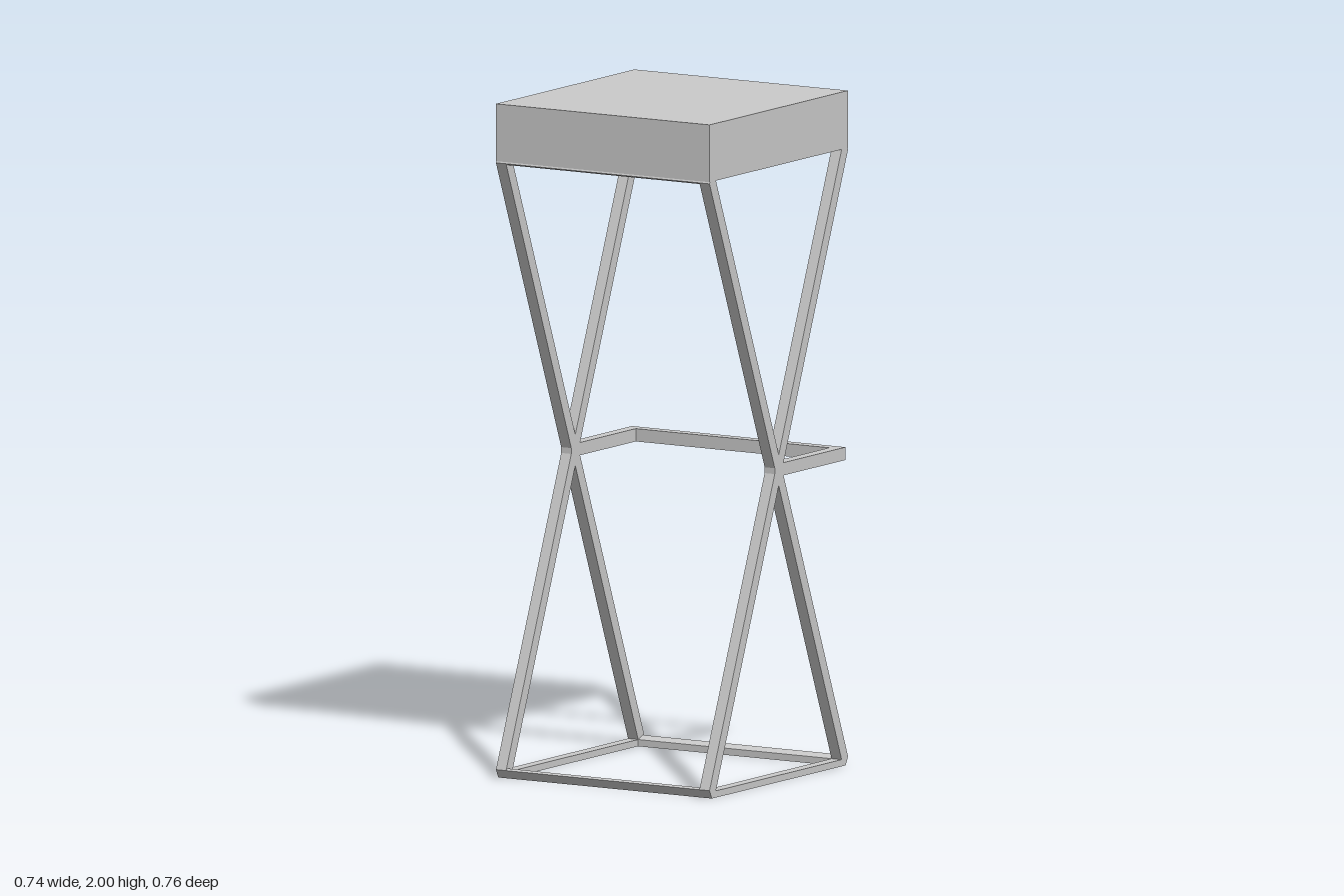
import * as THREE from 'three';

const HALF_X = 0.37;   // half width of the stool
const HALF_Z = 0.38;   // half depth of the stool
const BAR = 0.035;     // bar thickness
const MID_Y = 0.925;   // height where the legs cross

const metal = new THREE.MeshStandardMaterial({ color: 0xcccccc, flatShading: true });
const shell = new THREE.MeshStandardMaterial({ color: 0xcccccc, flatShading: true, side: THREE.DoubleSide });

// Extrude a [z, y] outline along x, centred on x = 0
function extrudeX(points, width) {
  const shape = new THREE.Shape(points.map(([z, y]) => new THREE.Vector2(z, y)));
  const geo = new THREE.ExtrudeGeometry(shape, { depth: width, bevelEnabled: false });
  return geo.translate(0, 0, -width / 2).rotateY(-Math.PI / 2);
}

function add(group, name, geo, x = 0, y = 0, z = 0, material = metal) {
  const mesh = new THREE.Mesh(geo, material);
  mesh.name = name;
  mesh.position.set(x, y, z);
  group.add(mesh);
  return mesh;
}

export function createModel() {
  const stool = new THREE.Group();
  stool.name = 'barStool';

  // Seat: thin box shell, open underneath
  const seatGeo = new THREE.BoxGeometry(2 * HALF_X, 0.17, 2 * HALF_Z);
  const index = Array.from(seatGeo.index.array);
  index.splice(18, 6); // drop the bottom face
  seatGeo.setIndex(index);
  add(stool, 'seat', seatGeo, 0, 1.915, 0, shell);

  // Leg outline: one half, repeated by point symmetry about the crossing
  const foot = [[HALF_Z, 0.025], [0.367, 0], [0.345, 0], [0.345, 0.02]];
  const leg = [...foot, ...foot.map(([z, y]) => [-z, 2 * MID_Y - y])];
  // Cross bar outline, with the same chamfered outer corner
  const cross = [[0.345, 0], [0.367, 0], [HALF_Z, 0.025], [0.371, 0.03], [0.345, 0.02]];

  for (const side of [-1, 1]) {
    const x = side * (HALF_X - BAR / 2);
    const name = side > 0 ? 'left' : 'right';

    // Crossing legs
    const legs = new THREE.Group();
    legs.name = name + 'Legs';
    stool.add(legs);
    add(legs, 'forwardLeg', extrudeX(leg, BAR), x);
    add(legs, 'backwardLeg', extrudeX(leg.map(([z, y]) => [-z, y]), BAR), x);

    // Side rails on the floor and under the seat
    const rail = new THREE.BoxGeometry(BAR, 0.02, 0.7);
    add(stool, name + 'BaseRail', rail, x, 0.01, 0);
    add(stool, name + 'SeatRail', rail, x, 2 * MID_Y - 0.01, 0);

    // Front and back cross bars at floor and seat
    const end = side > 0 ? 'front' : 'back';
    const section = cross.map(([z, y]) => [z * side, y]);
    const length = 2 * (HALF_X - BAR);
    add(stool, end + 'BaseBar', extrudeX(section, length));
    add(stool, end + 'SeatBar', extrudeX(section.map(([z, y]) => [z, 2 * MID_Y - y]), length));

    // Footrest arm
    add(stool, name + 'FootrestArm', new THREE.BoxGeometry(BAR, 0.038, 0.389), x, MID_Y, -0.1725);
  }

  // Footrest bar across the back
  add(stool, 'footrestBar', new THREE.BoxGeometry(2 * (HALF_X - BAR), 0.038, BAR), 0, MID_Y, -0.367 + BAR / 2);

  return stool;
}
